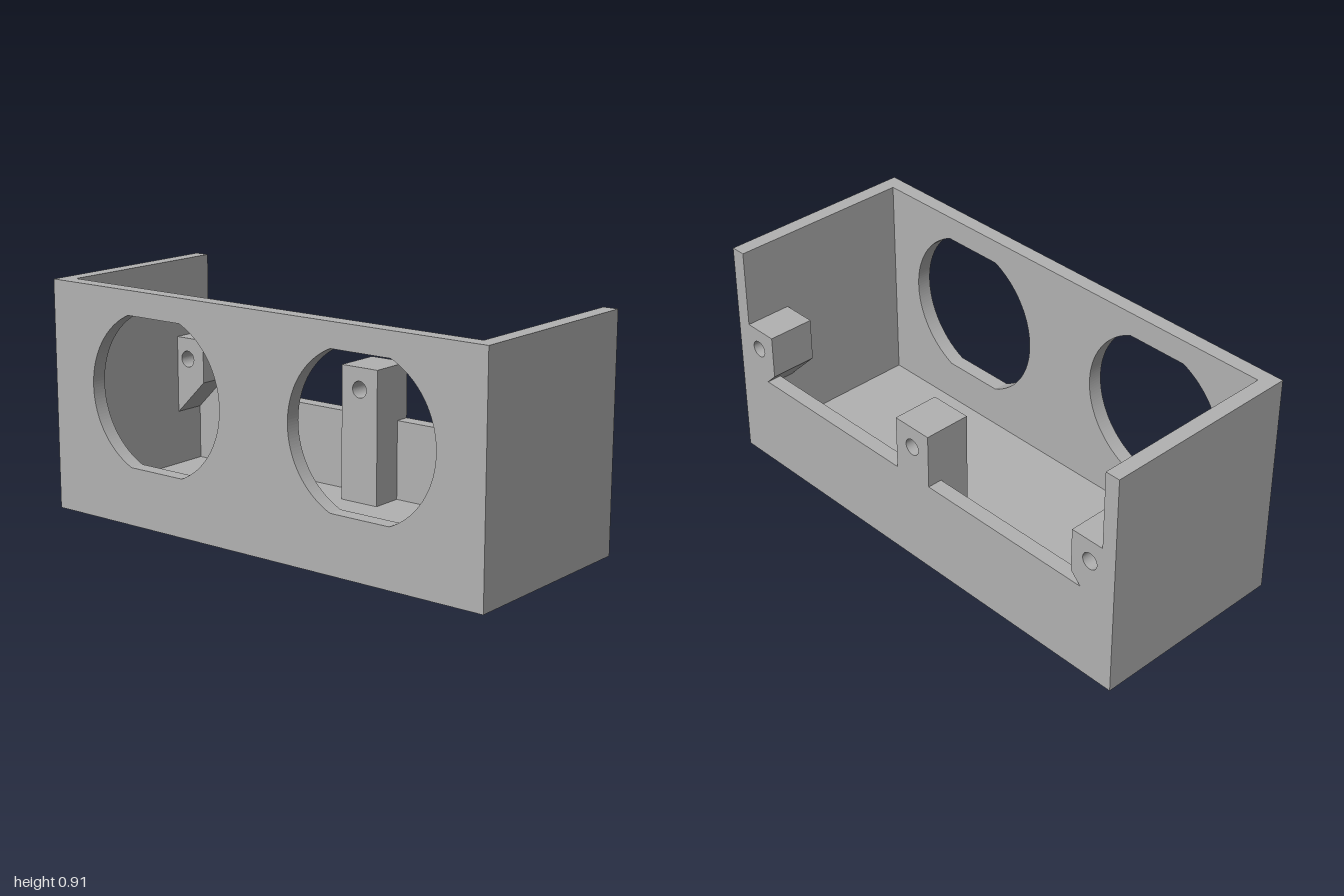
import * as THREE from 'three';

const W = 0.405, H = 0.91, L = 1, T = 0.06;   // half width, height, half length, wall thickness
const LIP = 0.375, POST = 0.595;              // front wall and screw post heights
const IN = L - T;                             // inner face of the end walls
const SCREW_Y = 0.508, SCREW_R = 0.033, SCREW_Z = 0.885;

const grey = new THREE.MeshStandardMaterial({ color: 0xb2b2b2 });
grey.name = 'grey plastic';

function add(group, name, geometry, x = 0, y = 0, z = 0) {
  const mesh = new THREE.Mesh(geometry, grey);
  mesh.name = name;
  mesh.position.set(x, y, z);
  group.add(mesh);
  return mesh;
}

function outline(points) {
  return new THREE.Shape(points.map(([u, v]) => new THREE.Vector2(u, v)));
}

function drill(shape, u) {
  const hole = new THREE.Path();
  hole.absarc(u, SCREW_Y, SCREW_R, 0, Math.PI * 2, true);
  shape.holes.push(hole);
  return shape;
}

// Extrudes a side profile (u = -z, v = y) from x0 to x1
function extrudeX(shape, x0, x1) {
  const g = new THREE.ExtrudeGeometry(shape, { depth: x1 - x0, bevelEnabled: false, curveSegments: 32 });
  return g.rotateY(Math.PI / 2).translate(x0, 0, 0);
}

// Round opening with flat top and bottom
function flatSidedHole(u, v, r, flat) {
  const a = Math.asin(flat / r);
  const path = new THREE.Path();
  path.absarc(u, v, r, -a, a, false);
  path.absarc(u, v, r, Math.PI - a, Math.PI + a, false);
  path.closePath();
  return path;
}

export function createModel() {
  const model = new THREE.Group();
  model.name = 'sensorHousing';

  // Floor and end walls
  add(model, 'floor', new THREE.BoxGeometry(2 * (W - T), T, 2 * IN), 0, T / 2, 0);
  for (const s of [-1, 1]) {
    add(model, 'endWall', new THREE.BoxGeometry(2 * W, H, T), 0, H / 2, s * (L - T / 2));
  }

  // Tall wall with two large openings
  const tall = outline([[-IN, 0], [IN, 0], [IN, H], [-IN, H]]);
  for (const s of [-1, 1]) tall.holes.push(flatSidedHole(s * 0.48, 0.522, 0.32, 0.293));
  add(model, 'openingWall', extrudeX(tall, -W, -W + T));

  // Low wall, rising flush into three screw posts
  const half = [[0.085, LIP], [0.845, LIP], [0.8, 0.42], [0.8, POST], [IN, POST]];
  const low = outline([
    [-IN, 0], [IN, 0],
    ...half.slice().reverse(), [0.085, POST],
    [-0.085, POST], ...half.map(([u, v]) => [-u, v]),
  ]);
  for (const u of [-SCREW_Z, 0, SCREW_Z]) drill(low, u);
  add(model, 'lowWall', extrudeX(low, W - T, W));

  // Inner bodies of the posts: the middle one stands on the floor, the end ones taper into the walls
  const postBack = 0.215;
  const middle = outline([[-0.085, T], [0.085, T], [0.085, POST], [-0.085, POST]]);
  add(model, 'middlePost', extrudeX(drill(middle, 0), postBack, W - T));
  for (const s of [-1, 1]) {
    const end = outline([[s * IN, 0.28], [s * IN, POST], [s * 0.8, POST], [s * 0.8, 0.42]]);
    add(model, 'endPost', extrudeX(drill(end, s * SCREW_Z), postBack, W - T));
  }

  return model;
}
